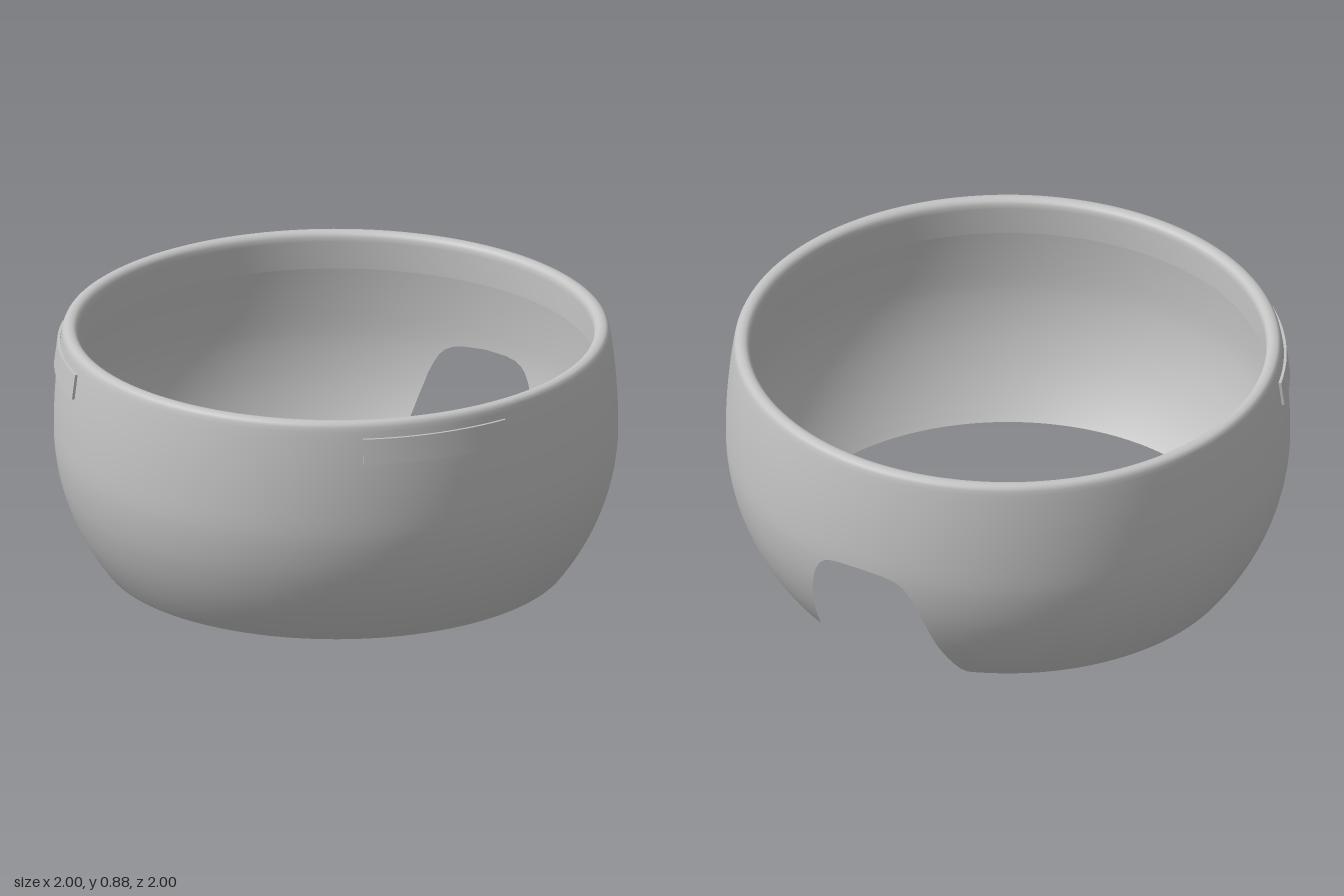
import * as THREE from 'three';
import { toCreasedNormals } from 'three/addons/utils/BufferGeometryUtils.js';

const V = (x, y) => new THREE.Vector2(x, y);
const rad = THREE.MathUtils.degToRad;

// outer radius of the wall at height y: widest at y = 0.5
const wallRadius = (y) => Math.sqrt(1 - ((y - 0.5) / (y < 0.5 ? 0.885 : 1.48)) ** 2);

// half width of the back opening by height: [y, x]
const opening = [
  [0, 0.308], [0.008, 0.3], [0.02, 0.291], [0.05, 0.281], [0.125, 0.262], [0.26, 0.235],
  [0.34, 0.213], [0.38, 0.196], [0.41, 0.178], [0.43, 0.157], [0.443, 0.13], [0.451, 0.09], [0.456, 0],
];
function openingWidth(y) {
  for (let i = 1; i < opening.length; i++) {
    const [y0, x0] = opening[i - 1], [y1, x1] = opening[i];
    if (y <= y1) return x0 + (x1 - x0) * (y - y0) / (y1 - y0);
  }
  return 0;
}

// revolve a profile from the back, squeezing each ring clear of the opening
function revolve(points) {
  const segments = 144;
  const geo = new THREE.LatheGeometry(points, segments, Math.PI);
  const pos = geo.attributes.position, nor = geo.attributes.normal;
  for (let i = 0; i < pos.count; i++) {
    const u = Math.floor(i / points.length) / segments;
    const p = points[i % points.length];
    const a = Math.asin(openingWidth(p.y) / p.x);
    const phi = Math.PI + a + u * 2 * (Math.PI - a);
    const s = Math.sin(phi), c = Math.cos(phi);
    const old = Math.PI + u * 2 * Math.PI;
    const n = nor.getX(i) * Math.sin(old) + nor.getZ(i) * Math.cos(old);
    pos.setXYZ(i, p.x * s, p.y, p.x * c);
    nor.setXYZ(i, n * s, nor.getY(i), n * c);
  }
  return geo;
}

// thin plate between two angles that follows the slope of the wall
function curvedPlate(from, to) {
  const shape = new THREE.Shape();
  shape.absarc(0, 0, 1.011, from, to, false);
  shape.absarc(0, 0, 1.001, to, from, true);
  const geo = new THREE.ExtrudeGeometry(shape, { depth: 0.091, bevelEnabled: false, curveSegments: 40 });
  geo.rotateX(-Math.PI / 2);
  geo.translate(0, 0.727, 0);
  const pos = geo.attributes.position;
  for (let i = 0; i < pos.count; i++) {
    const k = wallRadius(pos.getY(i));
    pos.setXYZ(i, pos.getX(i) * k, pos.getY(i), pos.getZ(i) * k);
  }
  return toCreasedNormals(geo, rad(30));
}

export function createModel() {
  const group = new THREE.Group();
  const grey = new THREE.MeshStandardMaterial({ color: 0xc4c4c4, side: THREE.DoubleSide });
  grey.name = 'lightGrey';
  const add = (name, geo) => {
    const mesh = new THREE.Mesh(geo, grey);
    mesh.name = name;
    group.add(mesh);
  };

  // thin wall that rolls over at the rim into a hanging inner lip
  const heights = opening.map(([y]) => y)
    .concat([0.085, 0.165, 0.21, 0.3, 0.478, 0.5, 0.53, 0.57, 0.62, 0.68, 0.74, 0.8, 0.84])
    .sort((a, b) => a - b);
  const profile = heights.map((y) => V(wallRadius(y), y));
  profile.push(V(0.97, 0.856), V(0.965, 0.867), V(0.956, 0.873), V(0.943, 0.875),
    V(0.931, 0.873), V(0.922, 0.867), V(0.916, 0.857), V(0.914, 0.84), V(0.915, 0.738));
  add('wallAndRim', revolve(profile));

  // raised plates on both front quarters
  add('leftPlate', curvedPlate(rad(-52.5), rad(-20.5)));
  add('rightPlate', curvedPlate(rad(-159.5), rad(-127.5)));
  return group;
}
